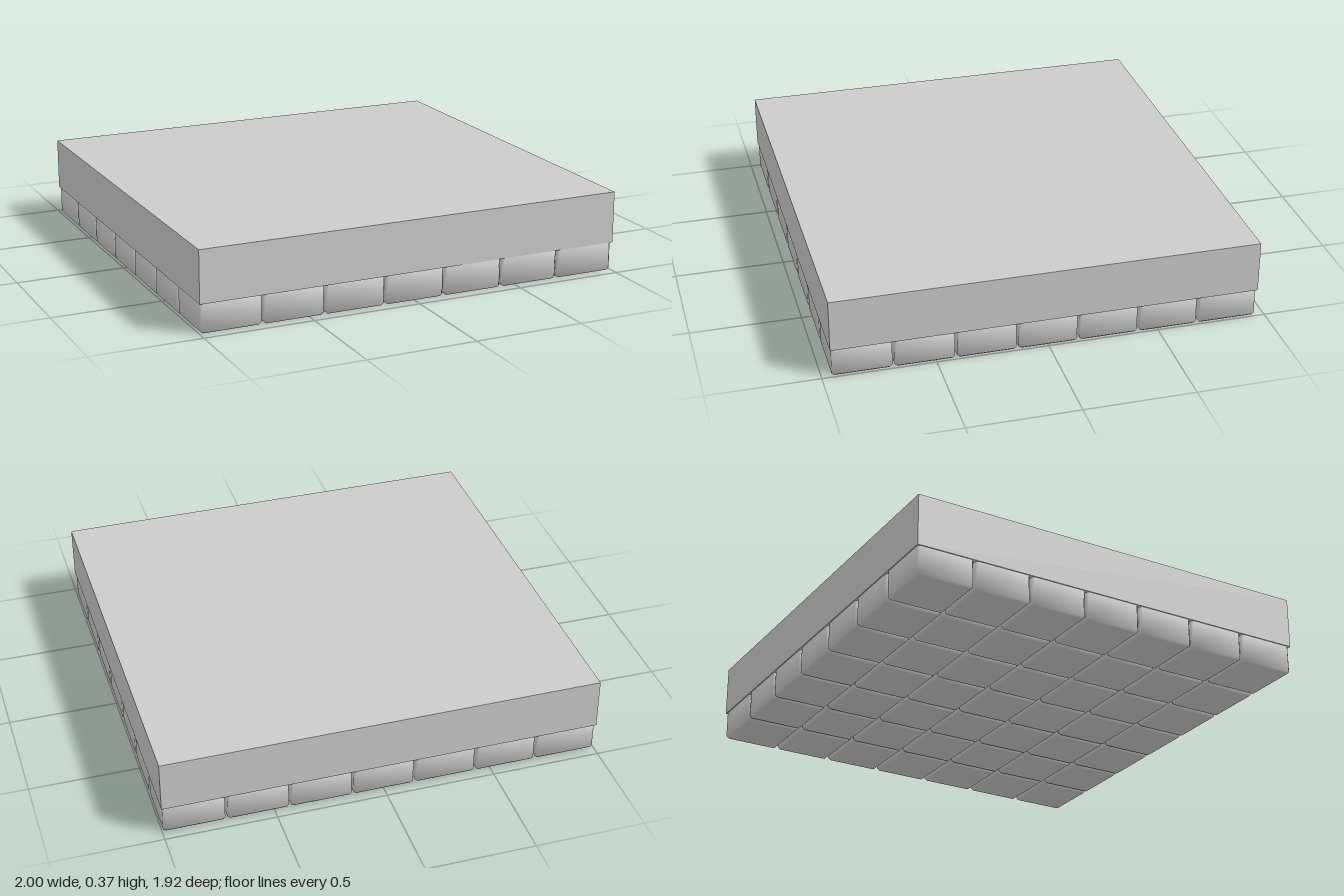
import * as THREE from 'three';

const WIDTH = 2, DEPTH = 1.92, TOP = 0.37, SLAB_BOTTOM = 0.133;
const COUNT = 7, GAP = 0.01, BEVEL = 0.01;

// Box with every edge chamfered once and softly shaded, standing on y = 0
function chamferedBox(w, h, d, c) {
  const positions = [], normals = [], index = [];
  const signs = [[1, 1], [-1, 1], [-1, -1], [1, -1]];
  // [height, inset, horizontal normal, vertical normal]
  const rings = [[0, c, 0.38, -0.92], [c, 0, 0.92, -0.38], [h - c, 0, 0.92, 0.38], [h, c, 0.38, 0.92]];
  for (const [y, inset, nh, nv] of rings) {
    const x = w / 2 - inset, z = d / 2 - inset, cut = inset ? c * 0.2 : c;
    signs.forEach(([sx, sz], i) => {
      const pair = [[x, z - cut, 0.92, 0.38], [x - cut, z, 0.38, 0.92]];
      if (i % 2) pair.reverse();
      for (const [px, pz, nx, nz] of pair) {
        positions.push(sx * px, y, sz * pz);
        normals.push(sx * nx * nh, nv, sz * nz * nh);
      }
    });
  }
  for (let r = 0; r < 3; r++) {
    for (let i = 0; i < 8; i++) {
      const a = r * 8 + i, b = r * 8 + (i + 1) % 8;
      index.push(a, a + 8, b, b, a + 8, b + 8);
    }
  }
  for (let i = 1; i < 7; i++) {
    index.push(0, i, i + 1); // underside
    index.push(24, 24 + i + 1, 24 + i); // upper face
  }
  const geometry = new THREE.BufferGeometry();
  geometry.setAttribute('position', new THREE.Float32BufferAttribute(positions, 3));
  geometry.setAttribute('normal', new THREE.Float32BufferAttribute(normals, 3));
  geometry.setIndex(index);
  geometry.normalizeNormals();
  return geometry;
}

export function createModel() {
  const model = new THREE.Group();
  model.name = 'tiledSlab';
  const material = new THREE.MeshStandardMaterial({ color: 0xcccccc });

  // Plain upper slab
  const slab = new THREE.Mesh(new THREE.BoxGeometry(WIDTH, TOP - SLAB_BOTTOM, DEPTH), material);
  slab.name = 'slab';
  slab.position.y = (TOP + SLAB_BOTTOM) / 2;
  model.add(slab);

  // Grid of tiles underneath, their upper bevels sunk into the slab
  const tiles = new THREE.Group();
  tiles.name = 'tiles';
  const stepX = WIDTH / COUNT, stepZ = DEPTH / COUNT;
  const tileGeometry = chamferedBox(stepX - GAP, SLAB_BOTTOM + BEVEL, stepZ - GAP, BEVEL);
  for (let i = 0; i < COUNT; i++) {
    for (let j = 0; j < COUNT; j++) {
      const tile = new THREE.Mesh(tileGeometry, material);
      tile.name = 'tile';
      tile.position.set((i - (COUNT - 1) / 2) * stepX, 0, (j - (COUNT - 1) / 2) * stepZ);
      tiles.add(tile);
    }
  }
  model.add(tiles);
  return model;
}
